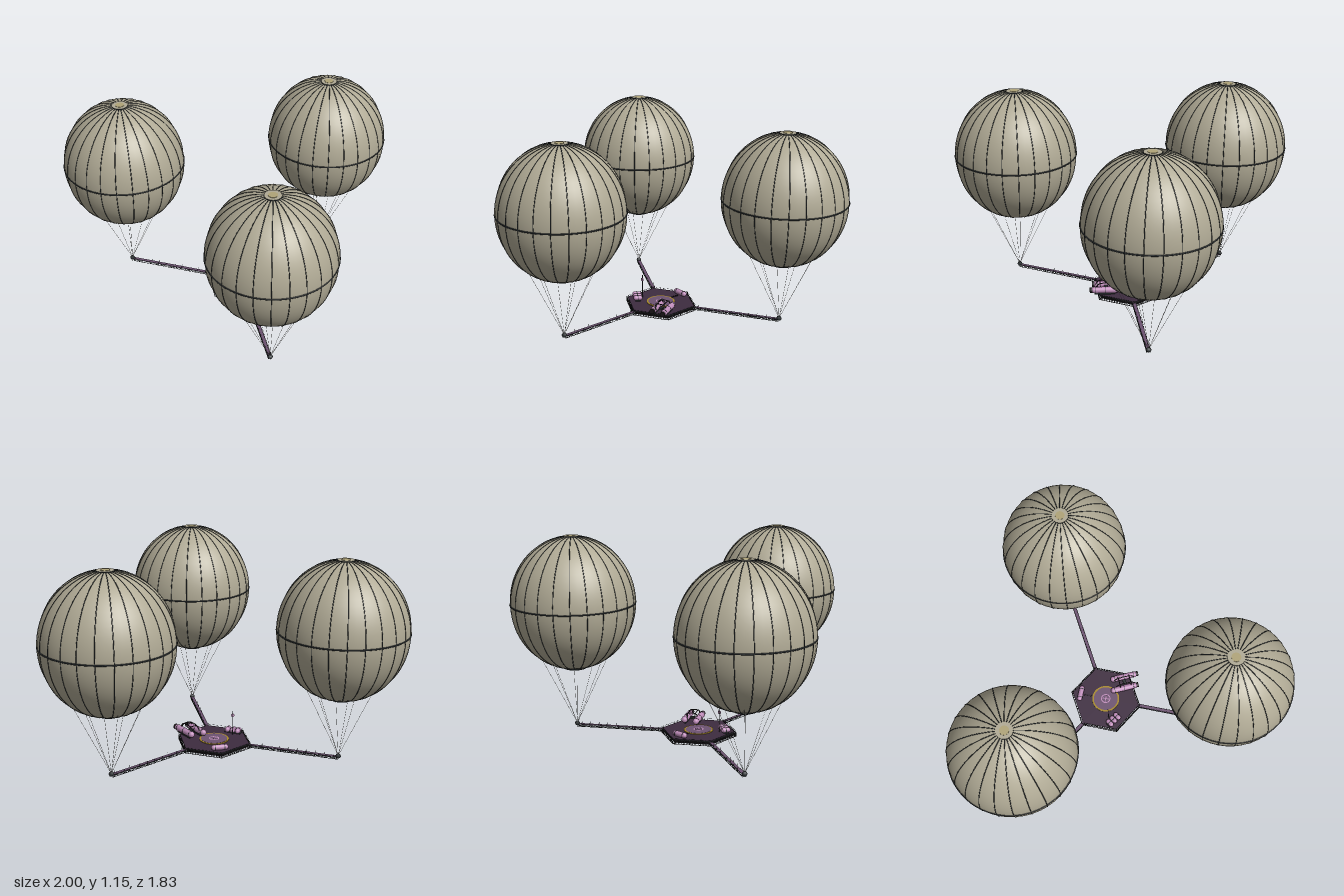
import * as THREE from 'three';
import { mergeGeometries } from 'three/addons/utils/BufferGeometryUtils.js';

const paint = (name, color) => {
  const m = new THREE.MeshStandardMaterial({ color });
  m.name = name;
  return m;
};
const V = (x, y, z) => new THREE.Vector3(x, y, z);

// one geometry holding a thin straight rod for each [from, to] pair
function rods(pairs, radius, sides = 4) {
  return mergeGeometries(pairs.map(([a, b]) => {
    const d = b.clone().sub(a);
    const g = new THREE.CylinderGeometry(radius, radius, d.length(), sides);
    g.applyQuaternion(new THREE.Quaternion().setFromUnitVectors(V(0, 1, 0), d.normalize()));
    const c = a.clone().add(b).multiplyScalar(0.5);
    return g.translate(c.x, c.y, c.z);
  }));
}

export function createModel() {
  const mat = {
    fabric: paint('balloon fabric', 0xb0aa95),
    cap: paint('balloon cap', 0xb0a478),
    dark: paint('dark metal', 0x2d3234),
    black: paint('black underside', 0x1e191c),
    deck: paint('deck purple', 0x3e2c40),
    pad: paint('walkway purple', 0x6d5371),
    pink: paint('tank pink', 0xbf8dba),
    yellow: paint('marking yellow', 0xa88a28),
    rope: paint('rope grey', 0x85837c),
  };
  const model = new THREE.Group();
  const add = (parent, name, geo, material, x = 0, y = 0, z = 0) => {
    const m = new THREE.Mesh(geo, material);
    m.name = name;
    m.position.set(x, y, z);
    parent.add(m);
    return m;
  };
  const group = (parent, name, x = 0, y = 0, z = 0, ry = 0) => {
    const g = new THREE.Group();
    g.name = name;
    g.position.set(x, y, z);
    g.rotation.y = ry;
    parent.add(g);
    return g;
  };

  const HUB = 0.222, REACH = 0.735, R = 0.36, H = 0.388, MID = 0.762;
  const platform = group(model, 'platform', 0, 0, -0.185);

  // balloon with seams, equator band, crown and mouth
  function balloon(parent) {
    const b = group(parent, 'balloon', 0, MID, REACH);
    add(b, 'envelope', new THREE.SphereGeometry(R, 48, 32), mat.fabric).scale.y = H / R;
    const seams = [];
    for (let i = 0; i < 24; i++) {
      const pts = [];
      for (let k = 0; k <= 24; k++) {
        const t = -1.4 + (2.84 * k) / 24;
        pts.push(V(R * Math.cos(t), H * Math.sin(t), 0));
      }
      const g = new THREE.TubeGeometry(new THREE.CatmullRomCurve3(pts), 32, 0.0023, 4);
      seams.push(g.rotateY((i * Math.PI) / 12));
    }
    add(b, 'seams', mergeGeometries(seams), mat.dark);
    add(b, 'equatorBand', new THREE.TorusGeometry(R, 0.0045, 6, 64).rotateX(Math.PI / 2), mat.dark);
    add(b, 'crown', new THREE.CylinderGeometry(0.047, 0.047, 0.012, 32), [mat.dark, mat.fabric, mat.dark], 0, H - 0.004);
    add(b, 'crownValve', new THREE.CylinderGeometry(0.026, 0.026, 0.003, 20), mat.cap, 0, H + 0.0025);
    add(b, 'mouth', new THREE.CylinderGeometry(0.08, 0.064, 0.015, 32), mat.dark, 0, -H + 0.004);
  }

  // square lattice boom with a walkway on top
  function boom(parent) {
    const w = 0.01, lo = 0.011, hi = 0.024, start = HUB - 0.012, n = 20;
    const chords = [], lattice = [], posts = [];
    for (const x of [-w, w]) for (const y of [lo, hi]) chords.push([V(x, y, start), V(x, y, REACH)]);
    const step = (REACH - start) / n;
    for (let i = 0; i < n; i++) {
      const a = start + i * step, c = a + step;
      for (const x of [-w, w]) {
        lattice.push([V(x, i % 2 ? lo : hi, a), V(x, i % 2 ? hi : lo, c)], [V(x, lo, a), V(x, hi, a)]);
        if (i % 2) posts.push([V(x, hi, a), V(x, 0.037, a)]);
      }
      lattice.push([V(-w, lo, a), V(w, lo, c)], [V(w, lo, a), V(-w, lo, c)]);
    }
    add(parent, 'boomChords', rods(chords, 0.0015), mat.dark);
    add(parent, 'boomLattice', rods(lattice, 0.001), mat.dark);
    add(parent, 'boomPosts', rods(posts, 0.0008), mat.dark);
    const walk = new THREE.BoxGeometry(0.018, 0.002, REACH - start);
    add(parent, 'walkway', walk, [mat.pad, mat.pad, mat.pad, mat.deck, mat.pad, mat.pad], 0, hi + 0.001, (start + REACH) / 2);
    add(parent, 'boomNode', new THREE.OctahedronGeometry(0.016, 1), mat.dark, 0, 0.028, REACH);
  }

  for (let i = 0; i < 3; i++) {
    const arm = group(platform, 'arm', 0, 0, 0, (i * Math.PI * 2) / 3);
    balloon(arm);
    boom(arm);
    const lines = [];
    for (let k = 0; k < 8; k++) {
      const t = ((k + 0.5) * Math.PI) / 4;
      lines.push([V(0, 0.03, REACH), V(0.195 * Math.sin(t), 0.436, REACH + 0.195 * Math.cos(t))]);
    }
    add(arm, 'ropes', rods(lines, 0.0009, 3), mat.rope);
  }

  // hexagonal deck inside a lattice edge
  const hex = (r, h) => new THREE.CylinderGeometry(r, r, h, 6);
  add(platform, 'deckPlate', hex(HUB - 0.008, 0.006), [mat.dark, mat.deck, mat.black], 0, 0.027);
  add(platform, 'bellyPlate', hex(HUB - 0.014, 0.008), mat.black, 0, 0.012);
  const frame = [], web = [], rail = [];
  const corner = (i, y, r = HUB) => V(r * Math.sin((i * Math.PI) / 3), y, r * Math.cos((i * Math.PI) / 3));
  for (let i = 0; i < 6; i++) {
    frame.push([corner(i, 0.004), corner(i + 1, 0.004)], [corner(i, 0.026), corner(i + 1, 0.026)]);
    frame.push([V(0, 0.005, 0), corner(i, 0.005)]);
    rail.push([corner(i, 0.036), corner(i + 1, 0.036)]);
    for (let k = 0; k < 14; k++) {
      const at = (y, s, r) => corner(i, y, r).lerp(corner(i + 1, y, r), s / 14);
      web.push([at(0.004, k), at(0.026, k + 1)], [at(0.004, k), at(0.026, k)]);
      web.push([at(0.026, k), at(0.026, k + 0.5, HUB - 0.009)], [at(0.004, k), at(0.012, k, HUB - 0.015)]);
      rail.push([at(0.026, k), at(0.036, k)]);
    }
  }
  add(platform, 'deckFrame', rods(frame, 0.0018, 6), mat.black);
  add(platform, 'deckWeb', rods(web, 0.0012), mat.dark);
  add(platform, 'railing', rods(rail, 0.0007, 3), mat.dark);

  // landing pad with markings
  const disc = (name, r, y, m) => add(platform, name, new THREE.CylinderGeometry(r, r, 0.003, 40), m, 0, y);
  disc('padRim', 0.086, 0.0315, mat.yellow);
  disc('pad', 0.076, 0.0325, mat.pad);
  add(platform, 'padCircle', new THREE.RingGeometry(0.024, 0.03, 32).rotateX(-Math.PI / 2), mat.pink, 0, 0.035);
  for (const [w, d] of [[0.044, 0.005], [0.005, 0.044]]) add(platform, 'padCross', new THREE.BoxGeometry(w, 0.001, d), mat.pink, 0, 0.035);

  // round-ended tank lying along local z, with dark straps
  function tank(parent, name, r, len, x, y, z, straps = 2) {
    const t = group(parent, name, x, y, z);
    add(t, 'shell', new THREE.CapsuleGeometry(r, len - 2 * r, 5, 16).rotateX(Math.PI / 2), mat.pink);
    for (let i = 0; i < straps; i++) {
      const s = straps > 1 ? (i / (straps - 1) - 0.5) * (len - 2.8 * r) : 0;
      add(t, 'strap', new THREE.CylinderGeometry(r * 1.05, r * 1.05, 0.004, 16).rotateX(Math.PI / 2), mat.dark, 0, 0, s);
    }
    return t;
  }

  // rear tank and its pipe fittings
  tank(platform, 'rearTank', 0.016, 0.1, 0, 0.046, -0.162).rotation.y = Math.PI / 2;
  for (let i = 0; i < 4; i++) add(platform, 'pipeClamp', new THREE.BoxGeometry(0.008, 0.006, 0.006), mat.black, 0, 0.033, -0.137 + i * 0.014);

  // left cluster: small tanks and a mast carrying a flat dish
  const store = group(platform, 'storageTanks', -0.13, 0.044, 0.078, -0.6);
  for (let i = 0; i < 3; i++) tank(store, 'storageTank', 0.015, 0.056, (i - 1) * 0.032, 0.003, 0, 1);
  add(store, 'storageBase', new THREE.BoxGeometry(0.1, 0.006, 0.03), mat.dark, 0, -0.012);
  add(platform, 'mast', new THREE.CylinderGeometry(0.0018, 0.0026, 0.148, 6), mat.dark, -0.12, 0.104, 0.045);
  add(platform, 'mastDish', new THREE.CylinderGeometry(0.01, 0.01, 0.005, 16).rotateX(Math.PI / 2), mat.pink, -0.12, 0.15, 0.047);

  // twin-hulled module under an open roll frame
  const craft = group(platform, 'twinModule', 0.125, 0.058, 0.097, 0.45);
  for (const s of [-1, 1]) {
    const z = s * 0.008;
    tank(craft, 'hull', 0.0185, 0.175, s * 0.037, 0, z - 0.004, 3);
    add(craft, 'noseBlock', new THREE.CylinderGeometry(0.016, 0.016, 0.018, 12).rotateX(Math.PI / 2), mat.black, s * 0.037, 0, z + 0.08);
    add(craft, 'skid', new THREE.BoxGeometry(0.012, 0.01, 0.12), mat.dark, s * 0.037, -0.022, z);
  }
  const arch = (...pts) => add(craft, 'rollFrame', new THREE.TubeGeometry(new THREE.CatmullRomCurve3(pts), 16, 0.0028, 6), mat.black);
  for (const z of [-0.035, 0.035]) arch(V(-0.037, 0.012, z), V(-0.024, 0.031, z), V(0.024, 0.031, z), V(0.037, 0.012, z));
  for (const x of [-0.022, 0.022]) arch(V(x, 0.006, -0.062), V(x, 0.031, -0.042), V(x, 0.031, 0.042), V(x, 0.006, 0.062));
  add(craft, 'crossBeam', new THREE.BoxGeometry(0.06, 0.012, 0.02), mat.dark, 0, -0.005);

  return model;
}
